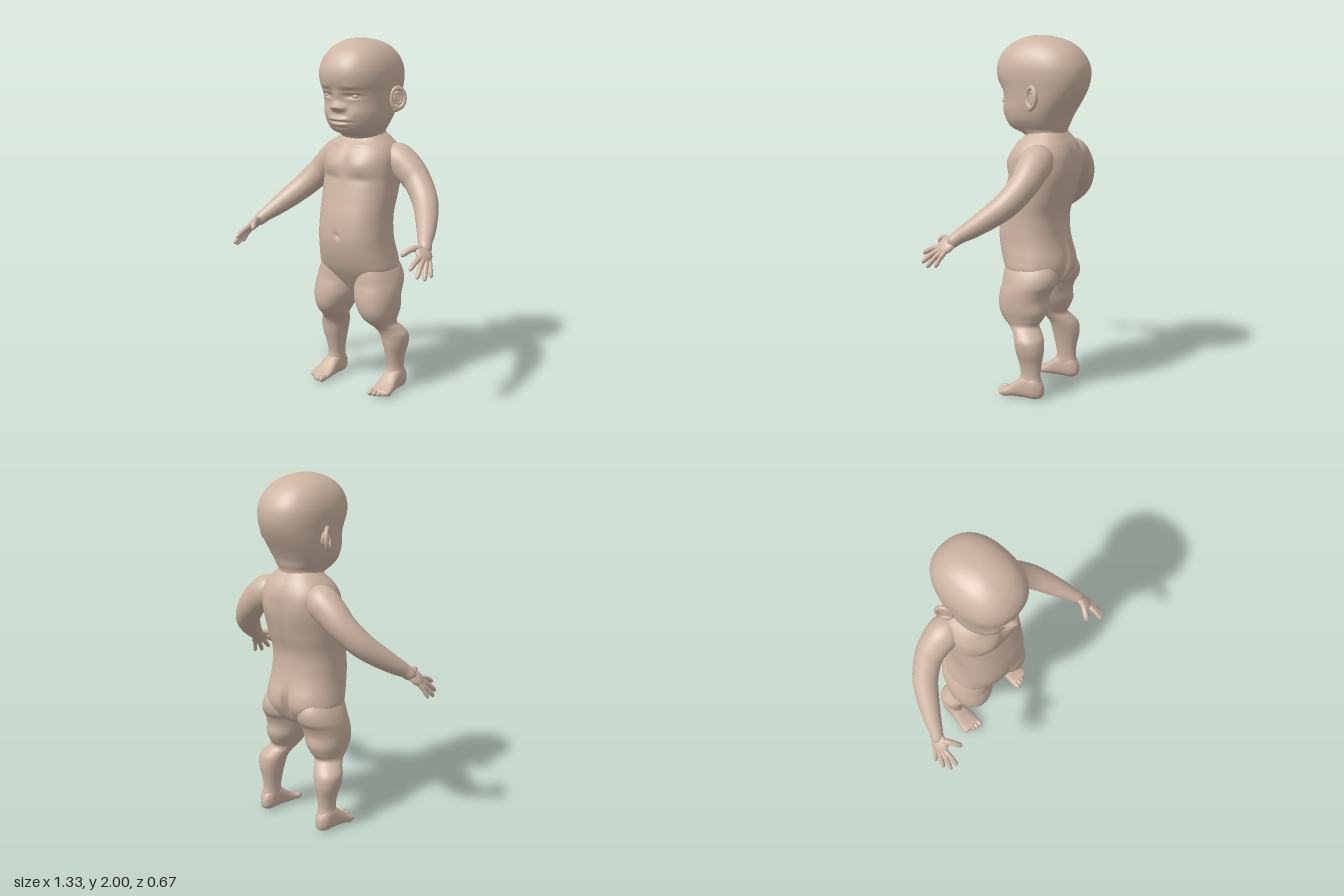
import * as THREE from 'three';

const skin = new THREE.MeshStandardMaterial({ color: 0xcdb4a2 });
skin.name = 'skin';

// Closed smooth surface from rings; point(u, angle) returns a Vector3
function surface(rings, seg, point) {
  const pos = [], idx = [];
  for (let j = 0; j <= rings; j++)
    for (let i = 0; i < seg; i++) pos.push(...point(j / rings, (i / seg) * Math.PI * 2).toArray());
  for (let j = 0; j < rings; j++)
    for (let i = 0; i < seg; i++) {
      const a = j * seg + i, b = j * seg + (i + 1) % seg;
      idx.push(a, b, a + seg, b, b + seg, a + seg);
    }
  const g = new THREE.BufferGeometry();
  g.setAttribute('position', new THREE.Float32BufferAttribute(pos, 3));
  g.setIndex(idx);
  g.computeVertexNormals();
  return g;
}

// Catmull-Rom interpolation over the rows of a small table
function sample(rows, u) {
  const s = u * (rows.length - 1), k = Math.min(Math.floor(s), rows.length - 2), t = s - k;
  const at = (i) => rows[Math.max(0, Math.min(rows.length - 1, i))];
  return at(k).map((p1, c) => {
    const p0 = at(k - 1)[c], p2 = at(k + 1)[c], p3 = at(k + 2)[c];
    return p1 + 0.5 * t * (p2 - p0 + t * (2 * p0 - 5 * p1 + 4 * p2 - p3 + t * (3 * (p1 - p2) + p3 - p0)));
  });
}

// Upright loft: rows of [y, xMin, xMax, zFront, zBack], superellipse sections.
// Bumps: [x, y, widthX, widthY, push, side], mirrored in x, pushing front (+1) or back (-1)
function loft(rows, { steps = 6, seg = 48, power = 2.3, bumps = [] } = {}) {
  const sp = (v) => Math.sign(v) * Math.abs(v) ** (2 / power);
  return surface((rows.length - 1) * steps, seg, (u, a) => {
    const [y, xa, xb, zf, zb] = sample(rows, u);
    const x = (xa + xb) / 2 + ((xb - xa) / 2) * sp(Math.sin(a));
    let z = (zf + zb) / 2 + ((zf - zb) / 2) * sp(Math.cos(a));
    const facing = Math.cos(a);
    for (const [bx, by, sx, sy, push, side = 1] of bumps) {
      const fade = Math.min(1, Math.max(0, facing * side * 3));
      z += side * fade * push * Math.exp(-(((Math.abs(x) - bx) / sx) ** 2) - ((y - by) / sy) ** 2);
    }
    return new THREE.Vector3(x, y, z);
  });
}
const symmetric = (rows) => rows.map(([y, w, zf, zb]) => [y, -w, w, zf, zb]);

// Round limb along rows of [x, y, z, radius]
function limb(rows, seg = 32, steps = 6) {
  const up = new THREE.Vector3(0, 1, 0);
  const at = (u) => new THREE.Vector3(...sample(rows, u));
  return surface((rows.length - 1) * steps, seg, (u, a) => {
    const t = at(Math.min(1, u + 0.01)).sub(at(Math.max(0, u - 0.01))).normalize();
    const n = t.clone().cross(up).normalize(), b = t.clone().cross(n);
    const r = Math.max(0, sample(rows, u)[3]);
    return at(u).addScaledVector(n, r * Math.cos(a)).addScaledVector(b, r * Math.sin(a));
  });
}

// Tapered digit with a rounded tip
function digit(base, tip, r, sag = 0.006) {
  const p = (t, k) => [0, 1, 2].map((i) => base[i] + (tip[i] - base[i]) * t + (i === 1 ? sag * Math.sin(t * Math.PI) : 0)).concat(r * k);
  return limb([p(-0.15, 0.9), p(0.2, 1.05), p(0.45, 0.95), p(0.7, 0.95), p(0.88, 0.8), p(0.97, 0.45), p(1, 0)], 14, 3);
}

const ball = (sx, sy, sz) => new THREE.SphereGeometry(1, 28, 20).scale(sx, sy, sz);

export function createModel() {
  const model = new THREE.Group();
  model.name = 'infantFigure';
  const add = (name, geo) => {
    const m = new THREE.Mesh(geo, skin);
    m.name = name;
    model.add(m);
  };
  // Adds a left part and its mirrored right twin
  const pair = (name, geo) => {
    add('left' + name, geo);
    const g = geo.clone().scale(-1, 1, 1), ix = g.index.array;
    for (let i = 0; i < ix.length; i += 3) [ix[i], ix[i + 1]] = [ix[i + 1], ix[i]];
    add('right' + name, g);
  };

  // Head and neck, with the face pushed out of the front
  add('head', loft(symmetric([
    [1.42, 0.12, 0.0, -0.2], [1.465, 0.122, 0.03, -0.2], [1.49, 0.13, 0.095, -0.205],
    [1.515, 0.147, 0.122, -0.215], [1.55, 0.167, 0.132, -0.227], [1.6, 0.182, 0.137, -0.255],
    [1.66, 0.19, 0.143, -0.292], [1.72, 0.195, 0.162, -0.322], [1.78, 0.2, 0.188, -0.336],
    [1.84, 0.197, 0.188, -0.33], [1.9, 0.178, 0.16, -0.297], [1.95, 0.14, 0.11, -0.243],
    [1.98, 0.093, 0.052, -0.175], [1.995, 0.048, 0.0, -0.107], [2.0, 0, -0.052, -0.052],
  ]), {
    steps: 10, seg: 144, power: 2.35, bumps: [
      [0, 1.638, 0.03, 0.024, 0.05], [0, 1.69, 0.022, 0.04, 0.016], [0.034, 1.632, 0.015, 0.014, 0.022], // nose
      [0, 1.56, 0.07, 0.04, 0.018], [0, 1.571, 0.048, 0.01, 0.018], [0, 1.541, 0.042, 0.01, 0.016], // lips
      [0, 1.556, 0.06, 0.006, -0.01], [0, 1.505, 0.045, 0.02, 0.012], // mouth line, chin
      [0.1, 1.6, 0.05, 0.045, 0.012], [0.085, 1.7, 0.042, 0.022, -0.014], // cheeks, sockets
      [0.085, 1.715, 0.038, 0.009, 0.01], [0.085, 1.68, 0.034, 0.009, 0.006], [0.08, 1.75, 0.05, 0.016, 0.006], // lids, brows
    ],
  }));
  pair('Eye', ball(0.028, 0.017, 0.014).translate(0.085, 1.697, 0.116));

  // Ears, turned outward
  const ear = (name, g) => pair(name, g.rotateX(-0.05).rotateY(Math.PI / 3).translate(0.213, 1.675, -0.113));
  ear('EarRim', new THREE.TorusGeometry(0.042, 0.011, 12, 36).scale(1, 1.3, 1.1));
  ear('EarBowl', ball(0.042, 0.056, 0.009).translate(0, 0, -0.006));
  ear('EarFold', new THREE.TorusGeometry(0.024, 0.007, 10, 24, Math.PI * 1.2).rotateZ(-1.4).scale(1, 1.3, 1));
  ear('EarLobe', ball(0.02, 0.022, 0.012).translate(-0.012, -0.054, 0));
  ear('EarRoot', ball(0.03, 0.045, 0.03).translate(-0.018, 0, -0.026));

  // Torso with chest, navel, spine and buttocks
  add('torso', loft(symmetric([
    [0.57, 0, -0.05, -0.05], [0.585, 0.06, 0.02, -0.12], [0.62, 0.14, 0.05, -0.175],
    [0.67, 0.205, 0.085, -0.208], [0.72, 0.23, 0.115, -0.226], [0.78, 0.224, 0.14, -0.228],
    [0.85, 0.213, 0.158, -0.212], [0.92, 0.208, 0.165, -0.2], [1.02, 0.206, 0.154, -0.2],
    [1.12, 0.212, 0.13, -0.23], [1.22, 0.216, 0.106, -0.255], [1.3, 0.218, 0.1, -0.263],
    [1.36, 0.213, 0.085, -0.262], [1.41, 0.188, 0.055, -0.245], [1.445, 0.155, 0.022, -0.222],
    [1.475, 0.122, 0.0, -0.2], [1.5, 0.1, -0.02, -0.18],
  ]), {
    steps: 8, seg: 112, power: 2.45, bumps: [
      [0.1, 1.31, 0.07, 0.05, 0.014], [0.1, 1.235, 0.08, 0.02, -0.006], [0, 1.32, 0.02, 0.07, -0.006],
      [0, 0.92, 0.014, 0.016, -0.016], [0.075, 1.42, 0.06, 0.012, 0.006],
      [0, 1.1, 0.025, 0.25, -0.014, -1], [0, 0.7, 0.016, 0.1, -0.045, -1],
      [0.1, 0.71, 0.07, 0.07, 0.012, -1], [0.12, 1.28, 0.06, 0.08, 0.01, -1],
    ],
  }));

  // Legs: full thigh, knee crease, round calf
  pair('Leg', loft([
    [0.79, 0.08, 0.18, 0.06, -0.16], [0.74, 0.035, 0.22, 0.085, -0.205], [0.69, 0.018, 0.245, 0.095, -0.224],
    [0.64, 0.01, 0.26, 0.1, -0.217], [0.6, 0.012, 0.266, 0.109, -0.19], [0.55, 0.02, 0.267, 0.115, -0.172],
    [0.49, 0.045, 0.262, 0.11, -0.172], [0.44, 0.072, 0.25, 0.085, -0.15], [0.405, 0.092, 0.246, 0.045, -0.13],
    [0.37, 0.112, 0.268, 0.005, -0.155], [0.33, 0.13, 0.291, -0.015, -0.18], [0.27, 0.148, 0.286, -0.025, -0.186],
    [0.2, 0.163, 0.264, -0.042, -0.174], [0.14, 0.17, 0.257, -0.052, -0.168], [0.09, 0.17, 0.262, -0.045, -0.175],
    [0.04, 0.18, 0.255, -0.06, -0.17],
  ].reverse(), { power: 2.1 }));

  // Feet, lofted heel to toe and laid flat
  pair('Foot', loft([
    [-0.192, 0.215, 0.215, -0.045, -0.045], [-0.183, 0.19, 0.24, -0.015, -0.085], [-0.15, 0.172, 0.262, 0, -0.13],
    [-0.1, 0.168, 0.266, 0, -0.14], [-0.05, 0.165, 0.27, 0, -0.112], [0, 0.16, 0.278, 0, -0.07],
    [0.04, 0.16, 0.282, 0, -0.045], [0.062, 0.168, 0.272, -0.006, -0.036], [0.072, 0.22, 0.22, -0.02, -0.02],
  ], { power: 2.5 }).rotateX(Math.PI / 2));
  for (let i = 0; i < 5; i++) {
    const r = 0.019 - 0.0017 * i;
    pair('Toe' + (i + 1), ball(r * 0.9, r, r * 1.7).rotateY(0.06 * i).translate(0.177 + 0.0255 * i - 0.0008 * i * i, r, 0.072 - 0.0035 * i * i * 0.8));
  }

  // Arms, reaching out and forward to the wrist
  pair('Arm', limb([
    [0.12, 1.34, -0.145, 0.06], [0.19, 1.335, -0.142, 0.092], [0.27, 1.283, -0.143, 0.088], [0.34, 1.217, -0.133, 0.078],
    [0.42, 1.13, -0.083, 0.071], [0.48, 1.06, -0.008, 0.062], [0.53, 1.0, 0.07, 0.05], [0.56, 0.962, 0.125, 0.039],
    [0.585, 0.93, 0.16, 0.032], [0.6, 0.91, 0.185, 0],
  ], 40));

  // Palm, flattened across the knuckle line
  const along = new THREE.Vector3(0.45, -0.62, 0.62).normalize();
  const flat = along.clone().cross(new THREE.Vector3(-0.42, 0.34, 0.84)).normalize();
  const across = flat.clone().cross(along).normalize();
  const basis = new THREE.Matrix4().makeBasis(across, flat, along.clone()).setPosition(0.592, 0.915, 0.185);
  if (basis.determinant() < 0) basis.scale(new THREE.Vector3(-1, 1, 1));
  pair('Palm', ball(0.052, 0.024, 0.058).applyMatrix4(basis));

  // Thumb and fingers
  pair('Thumb', digit([0.568, 0.945, 0.2], [0.515, 0.908, 0.284], 0.017, 0.012));
  const fingers = [
    ['IndexFinger', [0.598, 0.9, 0.236], [0.602, 0.855, 0.33], 0.0145],
    ['MiddleFinger', [0.609, 0.891, 0.219], [0.637, 0.812, 0.315], 0.0145],
    ['RingFinger', [0.619, 0.882, 0.2], [0.656, 0.795, 0.272], 0.014],
    ['LittleFinger', [0.627, 0.876, 0.181], [0.66, 0.802, 0.215], 0.0125],
  ];
  for (const [name, base, tip, r] of fingers) pair(name, digit(base, tip, r));

  return model;
}
